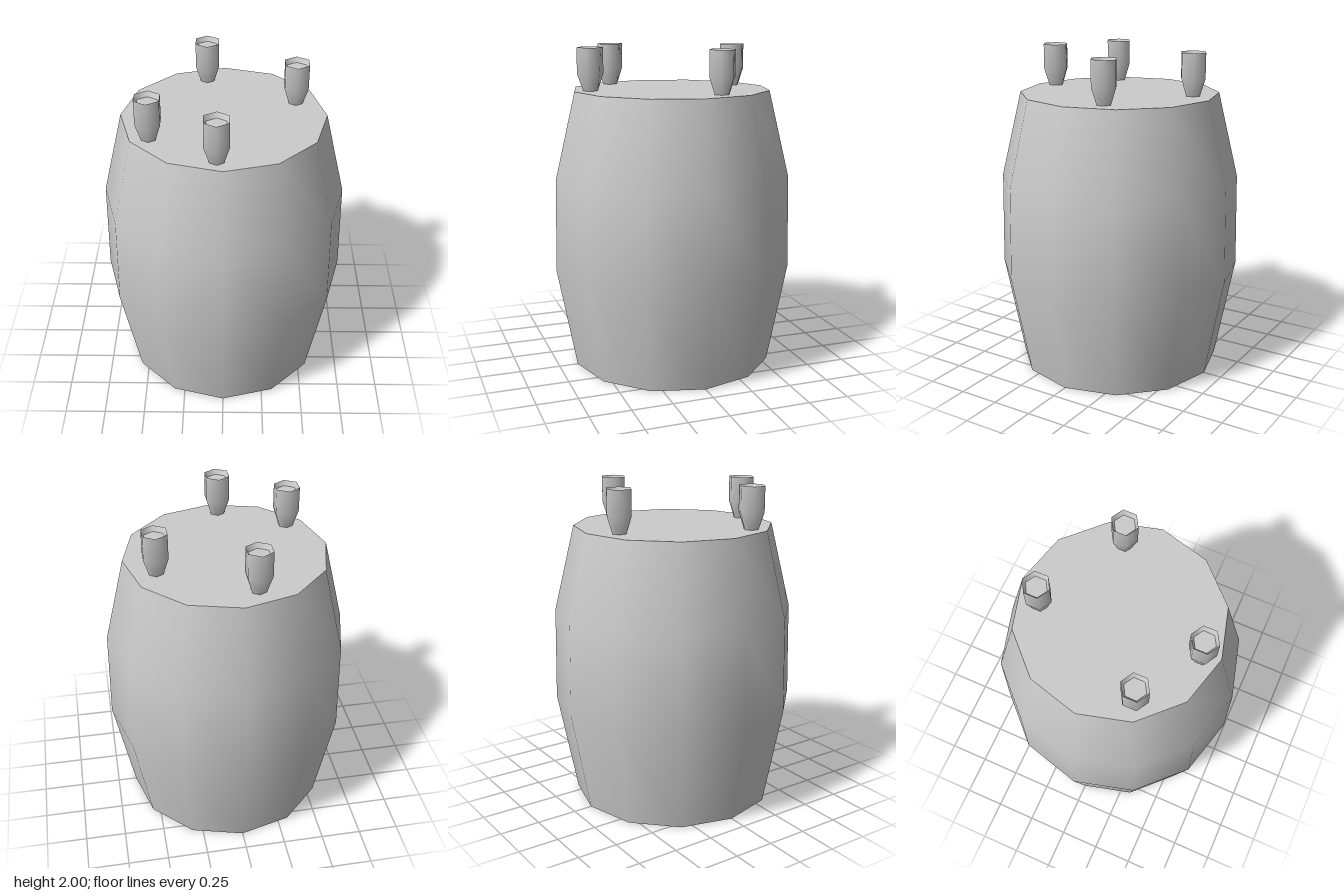
import * as THREE from 'three';

const material = new THREE.MeshStandardMaterial({ color: 0xcccccc, side: THREE.DoubleSide });

// Surface of revolution from [radius, height] pairs
function lathe(name, profile, sides) {
  const points = profile.map(([r, y]) => new THREE.Vector2(r, y));
  const mesh = new THREE.Mesh(new THREE.LatheGeometry(points, sides), material);
  mesh.name = name;
  return mesh;
}

// Flat polygon facing up, with a corner on the z axis
function disc(name, radius, y, sides) {
  const geometry = new THREE.CircleGeometry(radius, sides, Math.PI / 2).rotateX(-Math.PI / 2);
  const mesh = new THREE.Mesh(geometry, material);
  mesh.name = name;
  mesh.position.y = y;
  return mesh;
}

// Small hexagonal peg: tapered foot, straight head and a shallow dished top
function peg(x, z) {
  const group = new THREE.Group();
  group.name = 'peg';
  group.add(
    lathe('pegFoot', [[0.045, 1.735], [0.082, 1.845], [0.082, 2]], 6),
    lathe('pegRim', [[0.082, 2], [0.065, 1.97]], 6),
    disc('pegDish', 0.065, 1.97, 6),
  );
  group.position.set(x, 0, z);
  return group;
}

export function createModel() {
  const model = new THREE.Group();
  model.name = 'barrel';

  // Twelve-sided bulging shell, open underneath
  model.add(lathe('barrelShell', [[0.632, 0], [0.752, 0.635], [0.74, 1.21], [0.612, 1.74]], 12));
  model.add(disc('barrelLid', 0.612, 1.74, 12));

  // Pegs scattered around the lid
  const pegSpots = [[-0.106, -0.452], [0.432, -0.165], [-0.424, 0.27], [-0.034, 0.503]];
  for (const [x, z] of pegSpots) model.add(peg(x, z));

  return model;
}
